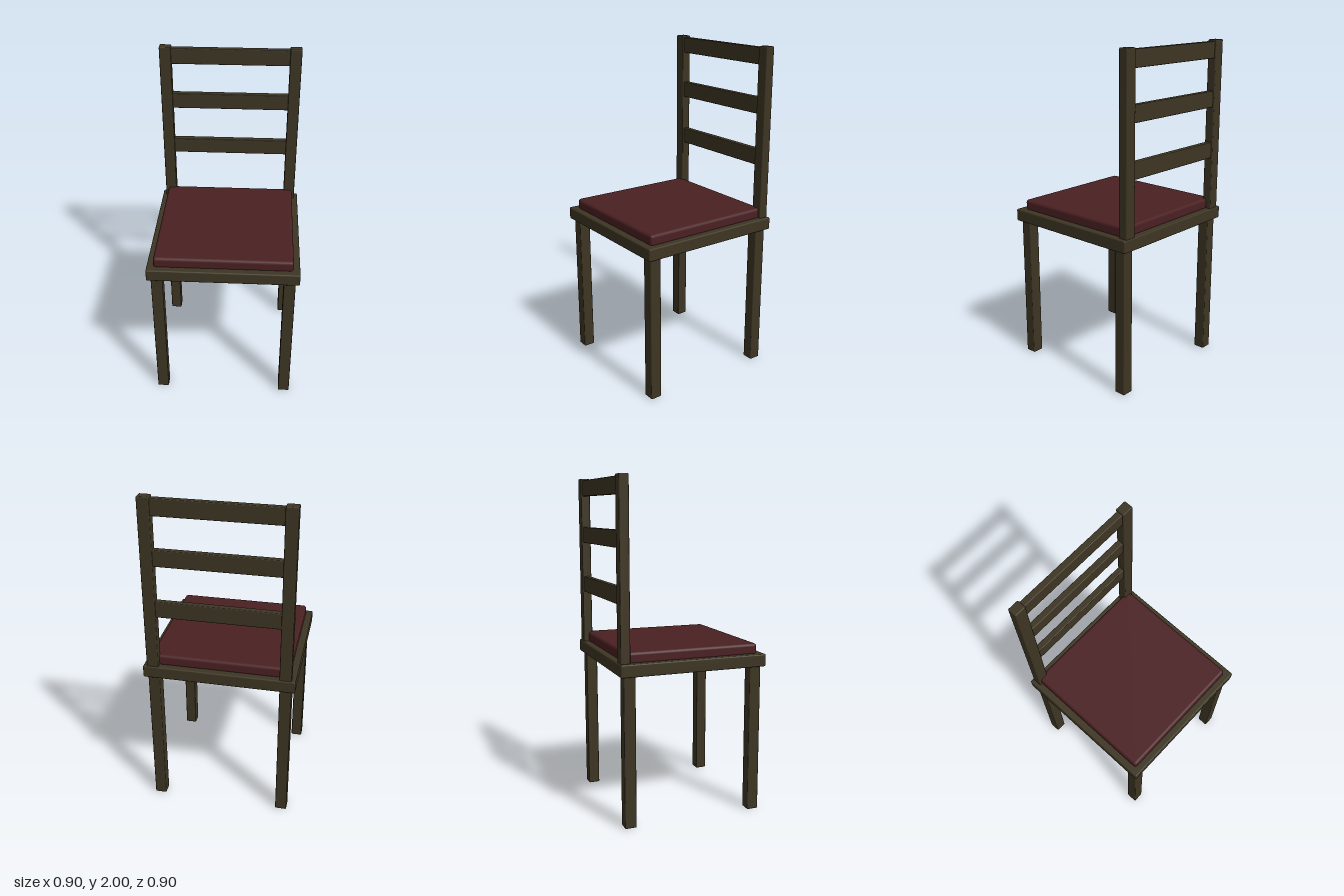
import * as THREE from 'three';
import { RoundedBoxGeometry } from 'three/addons/geometries/RoundedBoxGeometry.js';

export function createModel() {
  const model = new THREE.Group();
  model.name = 'chair';
  const wood = new THREE.MeshStandardMaterial({ color: 0x3d3523 });
  wood.name = 'dark wood';
  const fabric = new THREE.MeshStandardMaterial({ color: 0x4a2022 });
  fabric.name = 'dark red fabric';

  // Softly bevelled block given by its [min, max] range on each axis
  function block(name, material, [x0, x1], [y0, y1], [z0, z1], radius) {
    const geometry = new RoundedBoxGeometry(x1 - x0, y1 - y0, z1 - z0, 2, radius);
    const mesh = new THREE.Mesh(geometry, material);
    mesh.position.set((x0 + x1) / 2, (y0 + y1) / 2, (z0 + z1) / 2);
    mesh.name = name;
    model.add(mesh);
  }

  // Seat board and cushion
  block('seat', wood, [-0.45, 0.45], [0.895, 0.97], [-0.45, 0.45], 0.008);
  block('cushion', fabric, [-0.41, 0.41], [0.96, 1.03], [-0.41, 0.41], 0.018);

  for (const side of [-1, 1]) {
    const label = side > 0 ? 'left' : 'right';
    const x = side * 0.392;

    // Legs
    for (const end of [-1, 1]) {
      const z = end * 0.392;
      block(label + (end > 0 ? 'FrontLeg' : 'BackLeg'), wood,
        [x - 0.035, x + 0.035], [0, 0.905], [z - 0.035, z + 0.035], 0.006);
    }

    // Back posts
    block(label + 'BackPost', wood,
      [x - 0.035, x + 0.035], [0.96, 2], [-0.443, -0.386], 0.006);
  }

  // Back slats
  for (const y of [1.342, 1.653, 1.942]) {
    block('backSlat', wood, [-0.375, 0.375], [y - 0.049, y + 0.049], [-0.434, -0.396], 0.005);
  }
  return model;
}
